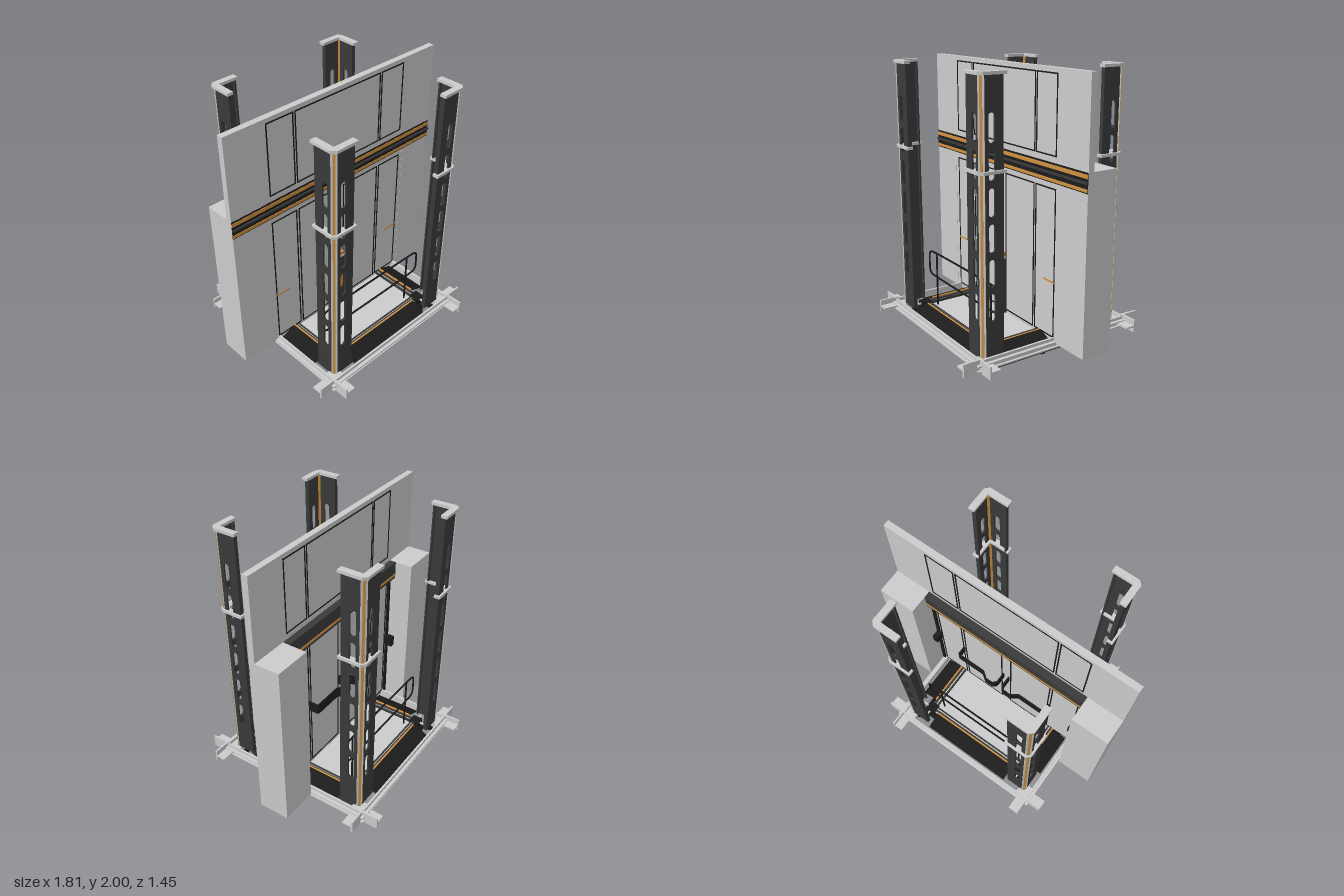
import * as THREE from 'three';

const mat = (color) => new THREE.MeshStandardMaterial({ color, side: THREE.DoubleSide });

export function createModel() {
  const root = new THREE.Group();
  const grey = mat(0xcccccc), dark = mat(0x3a3a3a), black = mat(0x1c1c1c), orange = mat(0xd0913f);

  const add = (parent, name, geo, m) => {
    const mesh = new THREE.Mesh(geo, m);
    mesh.name = name;
    parent.add(mesh);
    return mesh;
  };
  // box from its limits on each axis
  const box = (parent, name, m, x0, x1, y0, y1, z0, z1) => {
    const mesh = add(parent, name, new THREE.BoxGeometry(x1 - x0, y1 - y0, z1 - z0), m);
    mesh.position.set((x0 + x1) / 2, (y0 + y1) / 2, (z0 + z1) / 2);
    return mesh;
  };
  const group = (parent, name) => {
    const g = new THREE.Group();
    g.name = name;
    parent.add(g);
    return g;
  };
  const tube = (parent, name, pts, r, m, closed = false) => {
    const path = new THREE.CurvePath();
    pts.forEach((p, i) => {
      if (i < pts.length - 1 || closed) path.add(new THREE.LineCurve3(p, pts[(i + 1) % pts.length]));
    });
    return add(parent, name, new THREE.TubeGeometry(path, pts.length * 6, r, 8, closed), m);
  };
  // rectangular outline of thin bars
  const outline = (parent, name, x0, x1, y0, y1, z0, z1, t = 0.009) => {
    box(parent, name, black, x0, x0 + t, y0, y1, z0, z1);
    box(parent, name, black, x1 - t, x1, y0, y1, z0, z1);
    box(parent, name, black, x0 + t, x1 - t, y0, y0 + t, z0, z1);
    box(parent, name, black, x0 + t, x1 - t, y1 - t, y1, z0, z1);
  };

  // wall with side cabinets
  const wall = group(root, 'wall');
  box(wall, 'wallPanel', grey, -0.905, 0.905, 0.19, 2, -0.02, 0.024);
  for (const s of [-1, 1]) {
    box(wall, 'sideCabinet', grey, Math.min(s * 0.635, s * 0.905), Math.max(s * 0.635, s * 0.905), 0.19, 1.41, -0.2, 0.025);
    box(wall, 'doorJamb', black, s * 0.622 - 0.012, s * 0.622 + 0.012, 0.21, 1.28, -0.035, -0.02);
    box(wall, 'railBracket', black, s * 0.61 - 0.02, s * 0.61 + 0.02, 0.69, 0.77, -0.09, -0.02);
    box(wall, 'doorMarker', orange, s * 0.54 - 0.06, s * 0.54 + 0.06, 0.605, 0.618, 0.024, 0.027);
  }
  const panels = [[-0.6, -0.385], [0.385, 0.6]];
  for (const [z0, z1] of [[0.024, 0.027], [-0.023, -0.02]]) {
    for (const [a, b] of [...panels, [-0.375, 0.375]]) outline(wall, 'upperPanelEdge', a, b, 1.45, 1.97, z0, z1);
    for (const [a, b] of [...panels, [-0.372, -0.035], [0.035, 0.372]]) outline(wall, 'doorPanelEdge', a, b, 0.22, 1.245, z0, z1);
  }

  // header beam across the wall
  const header = group(root, 'header');
  box(header, 'headerBack', dark, -0.635, 0.635, 1.28, 1.41, -0.07, -0.02);
  box(header, 'headerBackStrip', orange, -0.635, 0.635, 1.3, 1.318, -0.073, -0.07);
  box(header, 'headerFront', black, -0.905, 0.905, 1.28, 1.41, 0.024, 0.028);
  box(header, 'headerUpperStrip', orange, -0.905, 0.905, 1.372, 1.398, 0.028, 0.031);
  box(header, 'headerLowerStrip', orange, -0.905, 0.905, 1.287, 1.308, 0.028, 0.031);
  box(header, 'headerTrack', dark, -0.905, 0.905, 1.338, 1.352, 0.028, 0.04);

  // control pedestal
  const pedestal = group(root, 'pedestal');
  box(pedestal, 'pedestalBody', dark, -0.042, 0.042, 0.2, 0.62, 0.024, 0.044);
  box(pedestal, 'pedestalCollar', grey, -0.042, 0.042, 0.62, 0.632, 0.024, 0.042);
  box(pedestal, 'pedestalTop', orange, -0.036, 0.036, 0.632, 0.665, 0.024, 0.038);
  box(pedestal, 'pedestalDisplay', orange, -0.017, 0.017, 0.335, 0.5, 0.044, 0.047);

  // bumper bands on the rear of the doors
  for (const s of [-1, 1]) {
    const outer = [[0.39, -0.02], [0.39, -0.088], [0.38, -0.098], [0.16, -0.098], [0.11, -0.135], [0.05, -0.135], [0.026, -0.12], [0.018, -0.1], [0.018, -0.02]];
    const inner = [[0.03, -0.02], [0.03, -0.1], [0.053, -0.124], [0.106, -0.124], [0.156, -0.087], [0.379, -0.087], [0.379, -0.02]];
    const shape = new THREE.Shape([...outer, ...inner].map(([x, z]) => new THREE.Vector2(s * x, -z)));
    const band = add(root, 'doorBumper', new THREE.ExtrudeGeometry(shape, { depth: 0.075, bevelEnabled: false }), black);
    band.rotation.x = -Math.PI / 2;
    band.position.y = 0.695;
  }

  // railings at front and back of the platform
  for (const z of [-0.365, 0.365]) {
    const rail = group(root, 'railing');
    const loop = [];
    for (let q = 0; q < 4; q++) {
      const cx = q === 0 || q === 3 ? 0.435 : -0.435, cy = q < 2 ? 0.56 : 0.46;
      for (let i = 0; i <= 4; i++) {
        const a = (q + i / 4) * Math.PI / 2;
        loop.push(new THREE.Vector3(cx + 0.04 * Math.cos(a), cy + 0.04 * Math.sin(a), z));
      }
    }
    // bars follow the rounded loop
    tube(rail, 'railLoop', loop, 0.007, black, true).geometry.dispose();
    rail.children[0].geometry = new THREE.TubeGeometry(new THREE.CatmullRomCurve3(loop, true, 'centripetal'), 120, 0.007, 8, true);
    for (const x of [-0.365, 0.365]) {
      tube(rail, 'railPost', [new THREE.Vector3(x, 0.2, z), new THREE.Vector3(x, 0.6, z)], 0.007, black);
    }
  }

  // platform
  const platform = group(root, 'platform');
  box(platform, 'floor', grey, -0.45, 0.45, 0.17, 0.2, -0.45, 0.45);
  box(platform, 'underPan', black, -0.49, 0.49, 0.14, 0.17, -0.49, 0.49);

  // undercarriage ribs and beams
  const under = group(root, 'undercarriage');
  for (const z of [-0.47, -0.29, -0.13, 0.14, 0.29, 0.47]) box(under, 'crossRib', dark, -0.47, 0.47, 0.08, 0.15, z - 0.012, z + 0.012);
  for (const x of [-0.46, -0.23, 0.23, 0.46]) box(under, 'longRib', dark, x - 0.012, x + 0.012, 0.052, 0.15, -0.455, 0.455);
  for (const [a, b] of [[-0.455, -0.01], [0.055, 0.455]]) box(under, 'centreBlade', grey, -0.01, 0.01, 0.045, 0.14, a, b);
  box(under, 'mainBeam', dark, -0.49, 0.49, 0.055, 0.1, 0.008, 0.038);
  for (const s of [-1, 1]) box(under, 'beamEnd', orange, s * 0.502 - 0.012, s * 0.502 + 0.012, 0.1, 0.155, 0.006, 0.04);
  const hook = new THREE.Shape();
  hook.moveTo(-0.062, 0.075);
  hook.lineTo(-0.062, 0.035);
  hook.quadraticCurveTo(-0.062, 0, -0.03, 0);
  hook.lineTo(0.03, 0);
  hook.quadraticCurveTo(0.062, 0, 0.062, 0.035);
  hook.lineTo(0.062, 0.075);
  hook.lineTo(0.03, 0.075);
  hook.lineTo(0.03, 0.035);
  hook.lineTo(-0.03, 0.035);
  hook.lineTo(-0.03, 0.075);
  add(under, 'beamHook', new THREE.ExtrudeGeometry(hook, { depth: 0.04, bevelEnabled: false }), black).position.z = 0.003;

  // slotted plate for one leg of a post
  const slottedPlate = (s) => {
    const shape = new THREE.Shape([[0.39, 0.2], [0.532, 0.2], [0.532, 1.98], [0.39, 1.98]].map(([x, y]) => new THREE.Vector2(s * x, y)));
    for (let i = 0; i < 6; i++) {
      const y = 0.44 + i * 0.228, r = 0.022, hole = new THREE.Path();
      hole.absarc(s * 0.475, y + 0.183 - r, r, 0, Math.PI, false);
      hole.absarc(s * 0.475, y + r, r, Math.PI, 2 * Math.PI, false);
      shape.holes.push(hole);
    }
    return new THREE.ExtrudeGeometry(shape, { depth: 0.012, bevelEnabled: false, curveSegments: 8 });
  };
  const capShape = new THREE.Shape([[0.375, 0.567], [0.54, 0.567], [0.567, 0.54], [0.567, 0.375], [0.522, 0.375], [0.522, 0.522], [0.375, 0.522]].map(([x, z]) => new THREE.Vector2(x, -z)));

  // each quarter: one corner post and one side of the base
  for (let i = 0; i < 4; i++) {
    const quarter = group(root, 'quarter');
    quarter.rotation.y = i * Math.PI / 2;

    const post = group(quarter, 'cornerPost');
    for (const s of [1, -1]) {
      const leg = group(post, 'postLeg');
      leg.rotation.y = s > 0 ? 0 : Math.PI / 2;
      add(leg, 'slottedPlate', slottedPlate(s), dark).position.z = 0.54;
      box(leg, 'plateLip', dark, s * 0.396 - 0.006, s * 0.396 + 0.006, 0.2, 1.98, 0.522, 0.54);
    }
    for (const [name, m, w, d] of [['cornerStrip', grey, 0.04, 0.012], ['cornerAccent', orange, 0.017, 0.018]]) {
      const strip = add(post, name, new THREE.BoxGeometry(w, 1.78, d), m);
      strip.position.set(0.539, 1.09, 0.539);
      strip.rotation.y = Math.PI / 4;
    }
    for (const y of [1.98, 1.393]) {
      const cap = add(post, 'postClamp', new THREE.ExtrudeGeometry(capShape, { depth: 0.02, bevelEnabled: false }), grey);
      cap.rotation.x = -Math.PI / 2;
      cap.position.y = y;
    }
    box(post, 'postFoot', grey, 0.5, 0.59, 0.16, 0.2, 0.5, 0.59);

    // guide block with pins
    box(quarter, 'guideBlock', black, 0.395, 0.47, 0.12, 0.225, 0.395, 0.47);
    const puck = add(quarter, 'footPuck', new THREE.CylinderGeometry(0.04, 0.04, 0.03, 16), black);
    puck.position.set(0.515, 0.145, 0.515);
    box(quarter, 'guidePin', grey, 0.47, 0.515, 0.2, 0.212, 0.43, 0.442);
    box(quarter, 'guidePin', grey, 0.43, 0.442, 0.2, 0.212, 0.47, 0.515);

    // base channel and crossing corner brackets
    box(quarter, 'baseBeam', grey, -0.61, 0.61, 0.155, 0.225, 0.59, 0.606);
    box(quarter, 'baseFlange', grey, -0.63, 0.63, 0.192, 0.204, 0.606, 0.63);
    box(quarter, 'baseFlange', grey, -0.63, 0.63, 0.155, 0.165, 0.606, 0.622);
    box(quarter, 'bracketPlate', grey, 0.585, 0.725, 0.145, 0.235, 0.593, 0.607);
    box(quarter, 'bracketPlate', grey, 0.593, 0.607, 0.145, 0.235, 0.585, 0.725);
    box(quarter, 'bracketFlange', grey, 0.607, 0.725, 0.184, 0.196, 0.525, 0.593);
    box(quarter, 'bracketFlange', grey, 0.525, 0.593, 0.184, 0.196, 0.607, 0.725);

    // sloping skirt and threshold strips around the floor
    const skirt = box(quarter, 'skirt', black, -0.365, 0.365, 0.195, 0.207, 0.45, 0.575);
    skirt.rotation.x = 0.4;
    box(quarter, 'thresholdTrim', orange, -0.365, 0.365, 0.2, 0.23, 0.443, 0.455);
    box(quarter, 'threshold', dark, -0.41, 0.41, 0.2, 0.222, 0.428, 0.443);
    box(quarter, 'thresholdEdge', grey, -0.41, 0.41, 0.2, 0.214, 0.418, 0.428);
    box(quarter, 'thresholdInner', dark, -0.41, 0.41, 0.2, 0.218, 0.405, 0.418);
  }
  return root;
}
